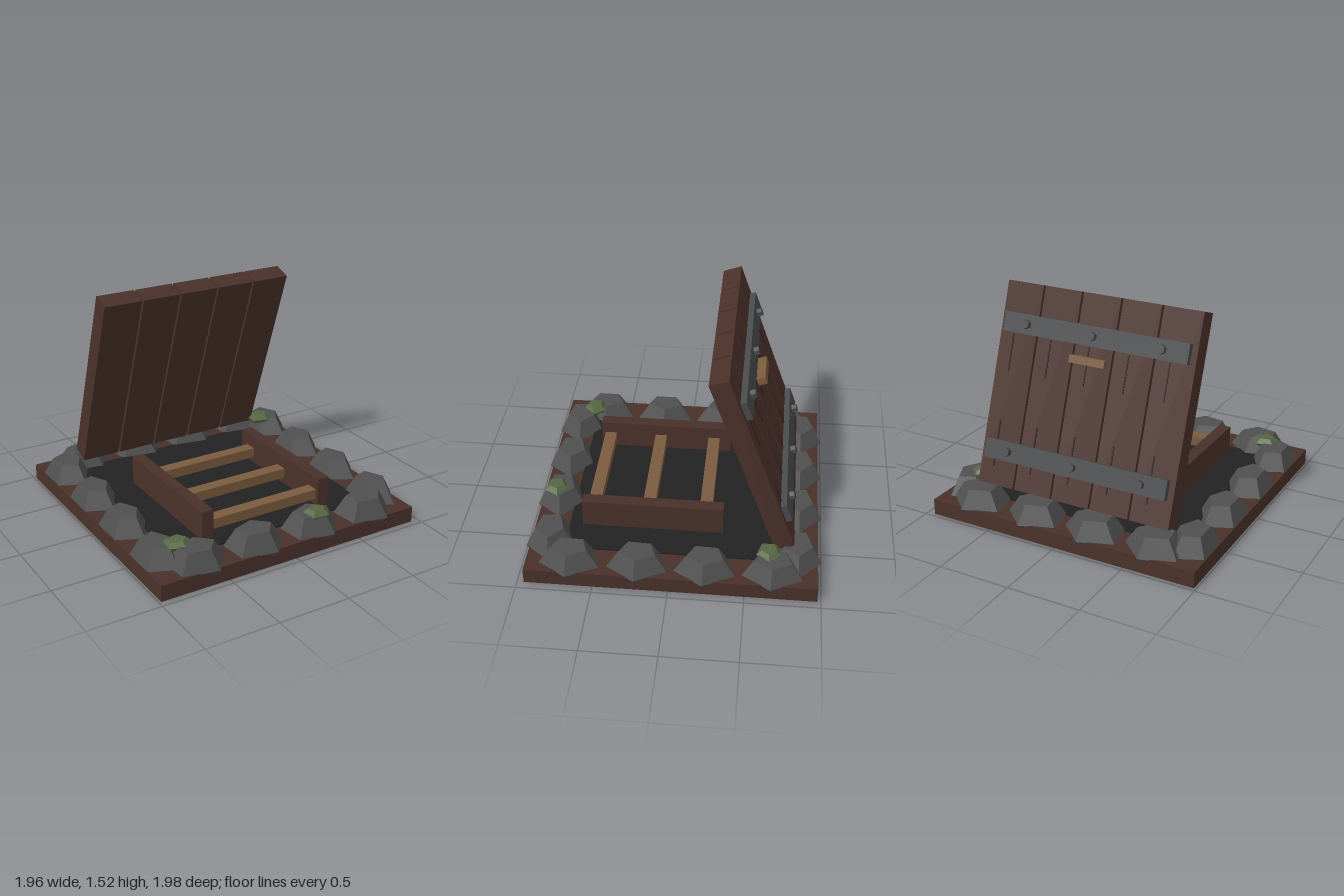
import * as THREE from 'three';

const flat = (name, color) => {
  const m = new THREE.MeshStandardMaterial({ color, flatShading: true });
  m.name = name;
  return m;
};

export function createModel() {
  const wood = flat('dark brown wood', 0x4a312a);
  const lightWood = flat('light wood', 0x7a5b3e);
  const stone = flat('grey stone', 0x505050);
  const metal = flat('iron', 0x484a4b);
  const moss = flat('moss green', 0x566743);
  const pit = flat('pit black', 0x222222);
  const crackDark = flat('crack brown', 0x2a1c17);

  const model = new THREE.Group();
  model.name = 'trapdoor';

  const add = (parent, name, geometry, material, x, y, z) => {
    const mesh = new THREE.Mesh(geometry, material);
    mesh.name = name;
    mesh.position.set(x, y, z);
    parent.add(mesh);
    return mesh;
  };
  const box = (parent, name, material, w, h, d, x, y, z) =>
    add(parent, name, new THREE.BoxGeometry(w, h, d), material, x, y, z);

  // Five-sided faceted lump: profile is [radius, y], with one corner at the given angle
  const lump = (name, material, profile, x, y, z, sx, sz, degrees) => {
    const points = profile.map(([r, h]) => new THREE.Vector2(r, h));
    const start = Math.PI / 2 - THREE.MathUtils.degToRad(degrees);
    const mesh = add(model, name, new THREE.LatheGeometry(points, 5, start), material, x, y, z);
    mesh.scale.set(sx, 1, sz);
    return mesh;
  };

  // Base slab and dark opening
  box(model, 'base', wood, 1.93, 0.11, 1.93, -0.02, 0.055, -0.01);
  box(model, 'pitFloor', pit, 1.46, 0.02, 1.46, -0.02, 0.11, -0.01);

  // Ladder rails and rungs
  for (const x of [-0.47, 0.433]) box(model, 'ladderRail', wood, 0.085, 0.21, 0.96, x, 0.215, 0.15);
  for (const z of [-0.205, 0.188, 0.563]) {
    box(model, 'ladderRung', lightWood, 0.82, 0.07, 0.085, -0.02, 0.2, z);
  }

  // Ring of border stones
  const stoneProfile = [[0, 0.01], [0.6, 0.01], [1, 0.105], [0.6, 0.23], [0, 0.23]];
  for (const [z, xs] of [[0.825, [-0.665, -0.24, 0.195, 0.625]], [-0.835, [-0.66, -0.225, 0.21, 0.65]]]) {
    for (const x of xs) lump('borderStone', stone, stoneProfile, x, 0, z, 0.215, 0.168, -5);
  }
  for (const [x, zs, turn] of [[-0.85, [-0.695, -0.25, 0.2, 0.65], 0], [0.82, [-0.68, -0.235, 0.21, 0.66], 3]]) {
    for (const z of zs) lump('borderStone', stone, stoneProfile, x, 0, z, 0.16, 0.215, turn);
  }

  // Moss patches on three stones
  const mossProfile = [[0, 0], [0.8, 0], [1, 0.025], [0.6, 0.055], [0, 0.055]];
  for (const [x, z, turn] of [[-0.75, 0.73, 5], [0.22, 0.85, -10], [0.75, -0.65, 0]]) {
    lump('mossPatch', moss, mossProfile, x, 0.2, z, 0.1, 0.088, turn);
  }

  // Open lid, leaning forward at the top; its outer side faces back
  const lid = new THREE.Group();
  lid.name = 'lid';
  lid.position.set(-0.018, 0.857, -0.52);
  lid.rotation.x = THREE.MathUtils.degToRad(19.7);
  model.add(lid);

  for (let i = -2; i <= 2; i++) {
    const x = i * 0.286;
    box(lid, 'plank', wood, 0.272, 1.355, 0.13, x, 0, 0);
    // Grain cracks on the outer side
    box(lid, 'grainCrack', crackDark, 0.009, 0.25, 0.008, x + 0.035, 0.21, -0.066);
    box(lid, 'grainCrack', crackDark, 0.009, 0.31, 0.008, x + 0.035, -0.4, -0.066);
  }

  // Iron straps with hexagonal bolts
  for (const y of [0.41, -0.435]) {
    box(lid, 'strap', metal, 1.335, 0.13, 0.042, 0, y, -0.085);
    for (const x of [-0.49, 0, 0.49]) {
      const bolt = add(lid, 'bolt', new THREE.CylinderGeometry(0.03, 0.03, 0.04, 6), metal, x, y, -0.12);
      bolt.rotation.x = Math.PI / 2;
    }
  }

  // Pull handle
  box(lid, 'handle', lightWood, 0.255, 0.05, 0.06, 0, 0.25, -0.112);

  return model;
}
